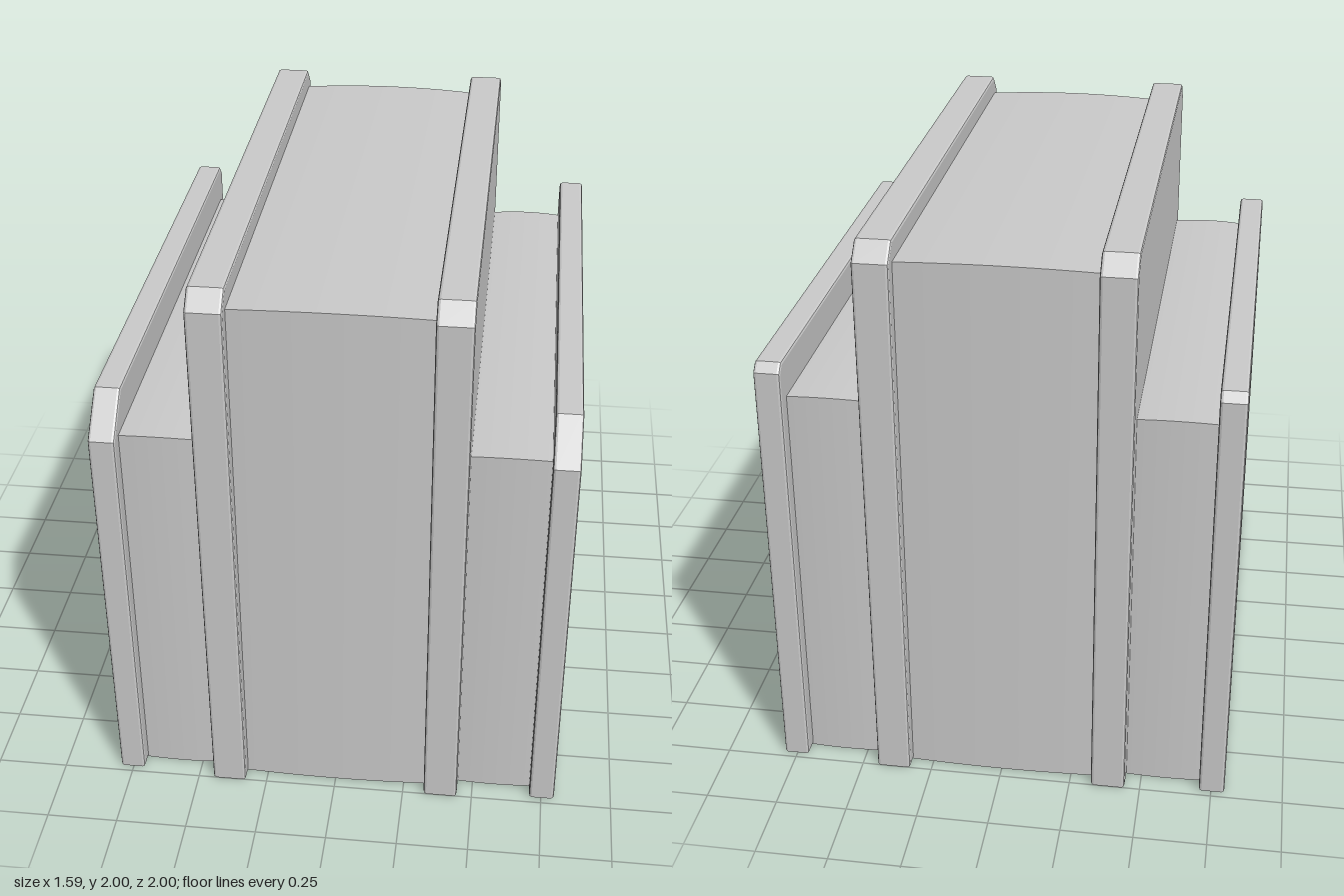
import * as THREE from 'three';

const material = new THREE.MeshStandardMaterial({ color: 0xcccccc });
const BEVEL = 0.01;

function add(group, name, geometry, x) {
  const mesh = new THREE.Mesh(geometry, material);
  mesh.name = name;
  mesh.position.x = x;
  group.add(mesh);
}

// Upright slab: side outline of [z, y] points, extruded across x with softened edges
function slab(points, width) {
  const shape = new THREE.Shape(points.map(([z, y]) => new THREE.Vector2(z, y)));
  const geometry = new THREE.ExtrudeGeometry(shape, {
    depth: width - 2 * BEVEL,
    bevelSize: BEVEL,
    bevelOffset: -BEVEL,
    bevelThickness: BEVEL,
    bevelSegments: 2,
  });
  geometry.translate(0, 0, -width / 2 + BEVEL);
  return geometry.rotateY(-Math.PI / 2);
}

// Block whose top, front and back swell slightly towards the middle of its width
function swollenBlock(width, height, depth, swell) {
  const geometry = new THREE.BoxGeometry(width, height - swell, depth - 2 * swell, 12, 1, 1);
  geometry.translate(0, (height - swell) / 2, 0);
  const p = geometry.attributes.position;
  for (let i = 0; i < p.count; i++) {
    const rise = swell * (1 - (2 * p.getX(i) / width) ** 2);
    if (p.getY(i) > 0.01) p.setY(i, p.getY(i) + rise);
    p.setZ(i, p.getZ(i) + Math.sign(p.getZ(i)) * rise);
  }
  geometry.computeVertexNormals();
  return geometry;
}

export function createModel() {
  const group = new THREE.Group();

  // Tall core between the two inner panels
  add(group, 'centreBlock', swollenBlock(0.67, 1.94, 1.915, 0.01), 0);

  // Inner panels: chamfered at both top corners
  const innerOutline = [[-1, 0], [1, 0], [1, 1.94], [0.94, 2], [-0.94, 2], [-1, 1.94]];
  // Outer panels: large chamfer at the front, small one at the back
  const outerOutline = [
    [-0.975, 0], [0.975, 0], [0.975, 1.43], [0.845, 1.56], [-0.945, 1.56], [-0.975, 1.53],
  ];

  for (const [side, s] of [['left', 1], ['right', -1]]) {
    add(group, side + 'InnerPanel', slab(innerOutline, 0.12), s * 0.386);
    add(group, side + 'SideBlock', swollenBlock(0.28, 1.43, 1.85, 0.006), s * 0.577);
    add(group, side + 'OuterPanel', slab(outerOutline, 0.09), s * 0.752);
  }
  return group;
}
